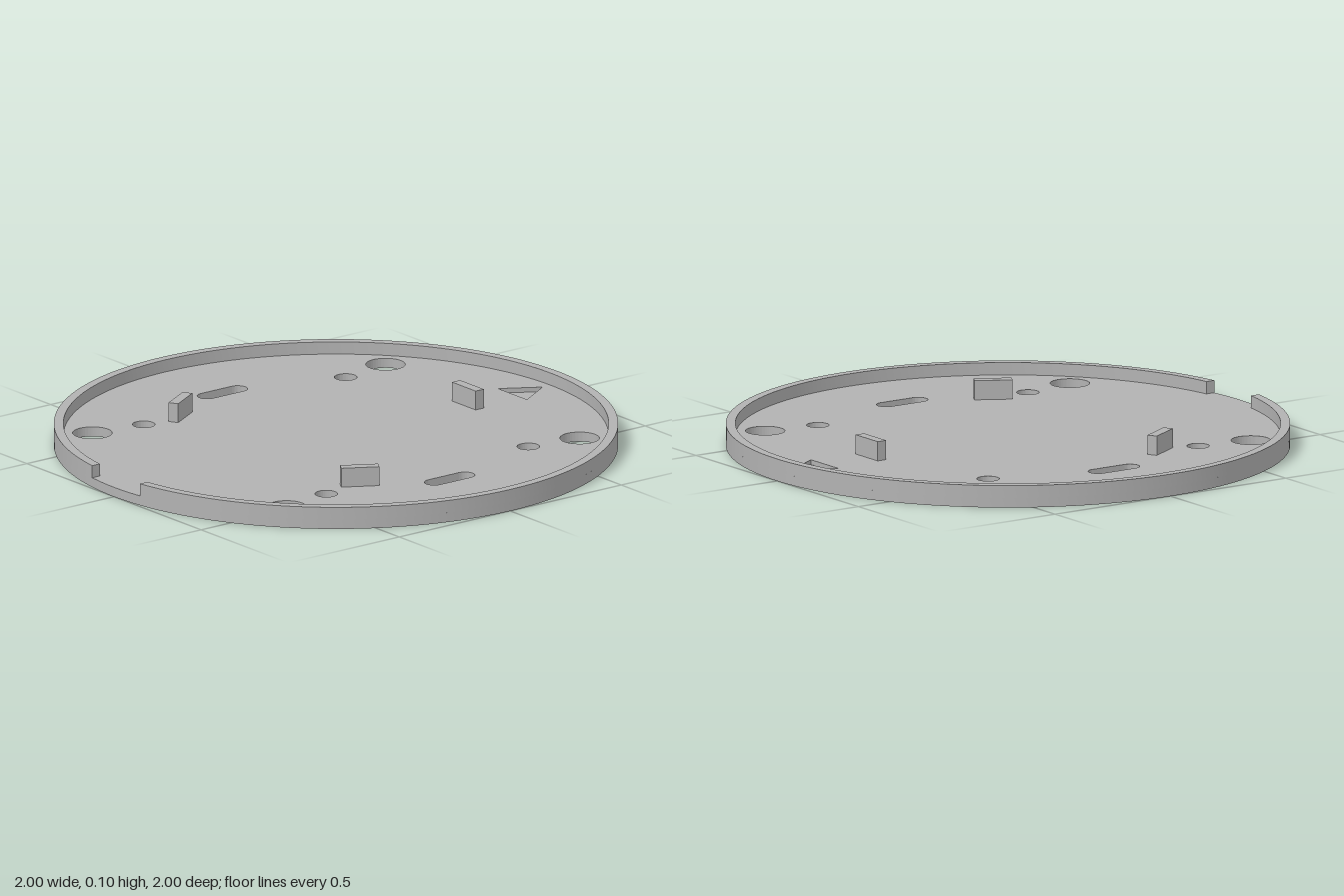
import * as THREE from 'three';
import { toCreasedNormals } from 'three/addons/utils/BufferGeometryUtils.js';

const FLOOR = 0.035, RIM_TOP = 0.08, TAB_TOP = 0.105;
const INNER = 0.966, GAP = 0.137;

export function createModel() {
  const group = new THREE.Group();
  const grey = new THREE.MeshStandardMaterial({ color: 0xb2b2b2 });
  grey.name = 'light grey plastic';

  // Extrude a plan shape upward from y0 to y1
  const addPlate = (name, shape, y0, y1) => {
    let geo = new THREE.ExtrudeGeometry(shape, { depth: y1 - y0, bevelEnabled: false, curveSegments: 96 });
    geo.rotateX(-Math.PI / 2);
    geo.translate(0, y0, 0);
    geo = toCreasedNormals(geo, 0.5);
    const mesh = new THREE.Mesh(geo, grey);
    mesh.name = name;
    group.add(mesh);
  };

  const circle = (x, y, r) => new THREE.Path().absarc(x, y, r, 0, Math.PI * 2, true);
  const slot = (y, half, r) => {
    const p = new THREE.Path();
    p.absarc(half - r, y, r, -Math.PI / 2, Math.PI / 2, false);
    p.absarc(-half + r, y, r, Math.PI / 2, Math.PI * 1.5, false);
    p.closePath();
    return p;
  };
  const arrow = [[0.795, -0.083], [0.93, 0], [0.795, 0.083]].map(([x, y]) => new THREE.Vector2(x, y));

  // Floor disc with screw holes, slots and arrow pocket
  const disc = new THREE.Shape().absarc(0, 0, 1, 0, Math.PI * 2, false);
  for (const sy of [-1, 1]) {
    for (const sx of [-1, 1]) {
      disc.holes.push(circle(sx * 0.66, sy * 0.557, 0.07));
      disc.holes.push(circle(sx * 0.455, sy * 0.524, 0.04));
    }
    disc.holes.push(slot(sy * 0.652, 0.104, 0.035));
  }
  disc.holes.push(new THREE.Path(arrow));
  addPlate('floor', disc, 0, FLOOR);

  // Bottom of the recessed arrow
  addPlate('arrowRecess', new THREE.Shape(arrow), 0, 0.018);

  // Raised rim, open at the -x side
  const a = Math.PI - Math.asin(GAP);
  const b = Math.PI - Math.asin(GAP / INNER);
  const rim = new THREE.Shape();
  rim.absarc(0, 0, 1, -a, a, false);
  rim.absarc(0, 0, INNER, b, -b, true);
  rim.closePath();
  addPlate('rim', rim, FLOOR, RIM_TOP);

  // Three upright tabs, evenly spaced around the centre
  for (let i = 0; i < 3; i++) {
    const angle = (i * Math.PI * 2) / 3;
    const tab = new THREE.Mesh(new THREE.BoxGeometry(0.037, TAB_TOP - FLOOR, 0.136), grey);
    tab.name = 'tab' + (i + 1);
    tab.position.set(0.594 * Math.cos(angle), (TAB_TOP + FLOOR) / 2, -0.594 * Math.sin(angle));
    tab.rotation.y = angle;
    group.add(tab);
  }
  return group;
}
